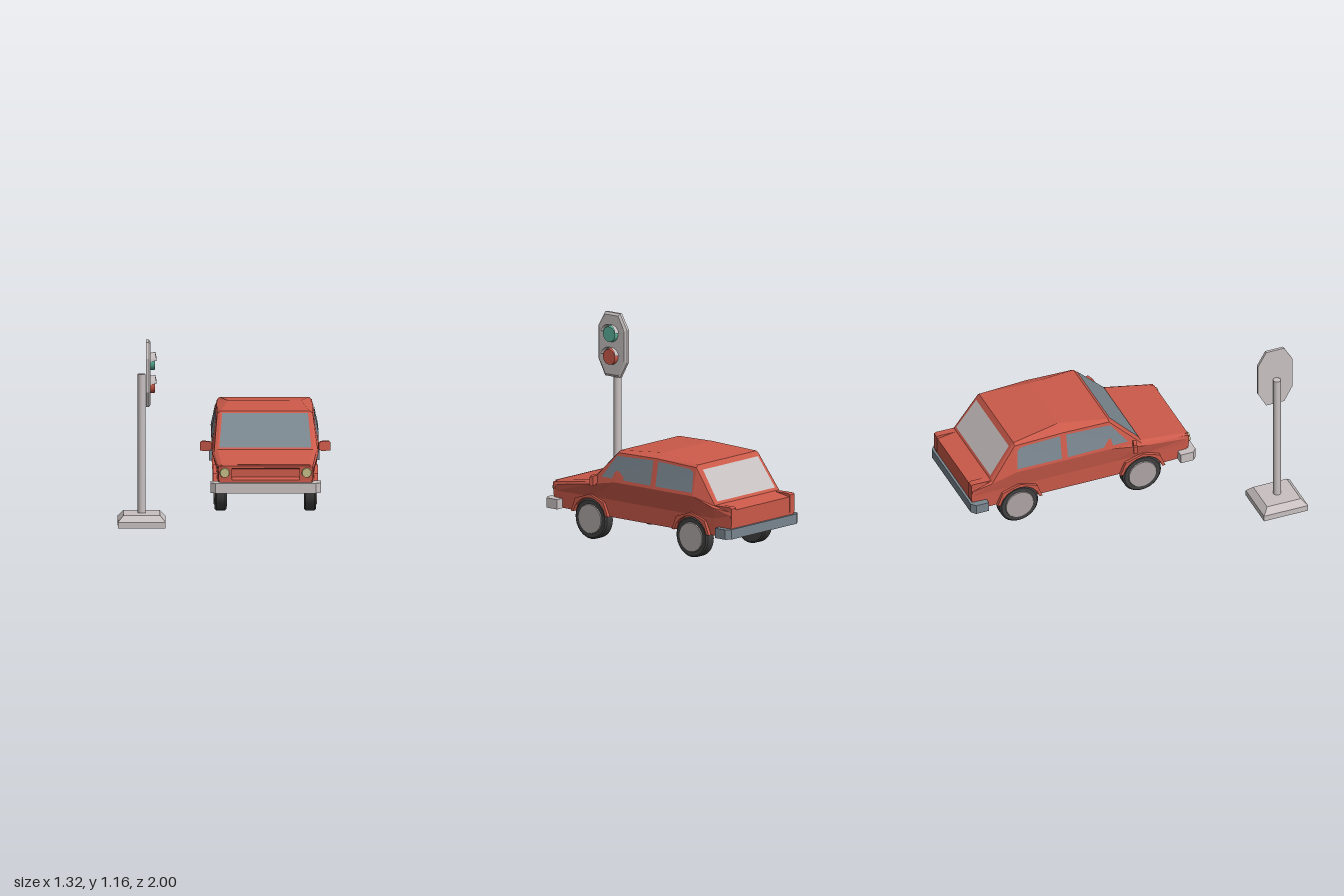
import * as THREE from 'three';

const mat = (name, color, side = THREE.FrontSide) => {
  const m = new THREE.MeshStandardMaterial({ color, side });
  m.name = name;
  return m;
};

// Faceted skin over matching rings; the first ring runs counter-clockwise seen from outside
function loft(rings) {
  const pos = [], n = rings[0].length, last = rings[rings.length - 1];
  const tri = (...p) => p.forEach(v => pos.push(...v));
  for (let r = 0; r < rings.length - 1; r++) {
    for (let i = 0; i < n; i++) {
      const j = (i + 1) % n, f = rings[r], b = rings[r + 1];
      tri(f[i], b[i], b[j]);
      tri(f[i], b[j], f[j]);
    }
  }
  for (let i = 1; i < n - 1; i++) {
    tri(rings[0][0], rings[0][i], rings[0][i + 1]);
    tri(last[0], last[i + 1], last[i]);
  }
  return fromPositions(pos);
}

function fromPositions(pos) {
  const g = new THREE.BufferGeometry();
  g.setAttribute('position', new THREE.Float32BufferAttribute(pos, 3));
  g.computeVertexNormals();
  return g;
}

// Thin flat sheet from a convex outline
function sheet(p) {
  const pos = [];
  for (let i = 1; i < p.length - 1; i++) pos.push(...p[0], ...p[i], ...p[i + 1]);
  return fromPositions(pos);
}

const extrude = (pts, depth) => new THREE.ExtrudeGeometry(
  new THREE.Shape(pts.map(p => new THREE.Vector2(...p))), { depth, bevelEnabled: false });

// Outline in (z, y) extruded along x from x0 to x1
const sidePlate = (pts, x0, x1) =>
  extrude(pts.map(([z, y]) => [-z, y]), x1 - x0).rotateY(Math.PI / 2).translate(x0, 0, 0);

// Car half-sections from nose to tail: z, then [half width, y] from sill to roof
const sections = [
  [0.445, [0.288, 0.16], [0.292, 0.26], [0.296, 0.3], [0.29, 0.318], [0.27, 0.327]],
  [0.14, [0.3, 0.16], [0.305, 0.27], [0.326, 0.35], [0.315, 0.365], [0.295, 0.376]],
  [-0.07, [0.3, 0.16], [0.306, 0.27], [0.33, 0.39], [0.294, 0.572], [0.275, 0.585]],
  [-0.38, [0.3, 0.16], [0.306, 0.27], [0.33, 0.39], [0.296, 0.578], [0.225, 0.605]],
  [-0.7, [0.3, 0.16], [0.306, 0.27], [0.33, 0.39], [0.292, 0.565], [0.275, 0.58]],
  [-0.86, [0.3, 0.16], [0.304, 0.27], [0.315, 0.335], [0.3, 0.345], [0.285, 0.352]],
  [-0.985, [0.295, 0.16], [0.298, 0.26], [0.3, 0.3], [0.295, 0.322], [0.28, 0.332]],
];

// Half width of the cabin side at a given z and y
function cabinSide(z, y) {
  let k = 1;
  while (k < sections.length - 2 && sections[k + 1][0] > z) k++;
  const a = sections[k], b = sections[k + 1], t = (a[0] - z) / (a[0] - b[0]);
  const at = i => [0, 1].map(c => THREE.MathUtils.lerp(a[i][c], b[i][c], t));
  const [low, high] = [at(3), at(4)];
  return THREE.MathUtils.mapLinear(y, low[1], high[1], low[0], high[0]);
}

export function createModel() {
  const red = mat('red paint', 0xcc5a4a);
  const light = mat('light grey', 0xc9c1c1, THREE.DoubleSide);
  const glass = mat('slate glass', 0x7a868f, THREE.DoubleSide);
  const rubber = mat('rubber', 0x404040);
  const hubGrey = mat('hub grey', 0xaea5a5);
  const yellow = mat('headlight yellow', 0xc8be88);
  const green = mat('signal green', 0x5cb09a);

  const model = new THREE.Group();
  const car = new THREE.Group();
  car.name = 'car';
  car.position.x = 0.256;
  const signal = new THREE.Group();
  signal.name = 'trafficLight';
  signal.position.set(-0.511, 0, 0.853);
  model.add(car, signal);
  const add = (parent, name, geo, material, x = 0, y = 0, z = 0) => {
    const m = new THREE.Mesh(geo, material);
    m.name = name;
    m.position.set(x, y, z);
    parent.add(m);
    return m;
  };

  // Body shell
  add(car, 'body', loft(sections.map(([z, ...half]) => [
    ...half.map(([x, y]) => [x, y, z]),
    ...half.slice().reverse().map(([x, y]) => [-x, y, z]),
  ])), red);

  // Nose: hood lip and lower panel around a shallow recess
  add(car, 'hoodLip', sidePlate([[0.44, 0.327], [0.465, 0.322], [0.465, 0.308], [0.44, 0.3]], -0.27, 0.27), red);
  add(car, 'nosePanel', sidePlate([[0.44, 0.16], [0.465, 0.16], [0.462, 0.235], [0.44, 0.255]], -0.285, 0.285), red);

  // Windshield and rear window
  const slope = (name, z0, y0, w0, z1, y1, w1, material) => add(car, name,
    sheet([[-w0, y0, z0], [w0, y0, z0], [w1, y1, z1], [-w1, y1, z1]]), material);
  slope('windshield', 0.135, 0.389, 0.283, -0.053, 0.576, 0.264, glass);
  slope('rearWindow', -0.853, 0.37, 0.272, -0.725, 0.551, 0.26, light);

  // Bumpers wrap around the corners
  const bumper = dir => extrude([
    [-0.34, 0.39], [-0.34, 0.475], [-0.31, 0.5], [0.31, 0.5], [0.34, 0.475], [0.34, 0.39],
    [0.29, 0.39], [0.285, 0.44], [-0.285, 0.44], [-0.29, 0.39],
  ], 0.062).rotateX(Math.PI / 2).rotateY(dir > 0 ? 0 : Math.PI);
  add(car, 'frontBumper', bumper(1), light, 0, 0.219, 0);
  add(car, 'rearBumper', bumper(-1), glass, 0, 0.219, -0.5);

  const tyreGeo = new THREE.LatheGeometry([
    [0, -0.037], [0.118, -0.037], [0.118, -0.037], [0.128, -0.027], [0.128, -0.027],
    [0.128, 0.027], [0.128, 0.027], [0.118, 0.037], [0.118, 0.037], [0, 0.037],
  ].map(p => new THREE.Vector2(...p)), 32).rotateZ(-Math.PI / 2);
  const hubGeo = new THREE.CylinderGeometry(0.09, 0.096, 0.012, 32).rotateZ(-Math.PI / 2);
  const lampGeo = new THREE.CylinderGeometry(0.028, 0.032, 0.02, 20).rotateX(Math.PI / 2);
  const mirrorGeo = extrude([[-0.037, -0.018], [-0.02, -0.03], [0.037, -0.03],
    [0.037, 0.022], [0.03, 0.03], [-0.02, 0.03], [-0.037, 0.018]], 0.022).translate(0, 0, -0.011);

  // Wheel arch outline around the wheel centre
  const arch = [[0.15, 0.032], [0.115, 0.118], [0, 0.157], [-0.115, 0.118], [-0.15, 0.032]];
  for (let i = 0; i <= 8; i++) {
    const a = Math.PI - 0.24 - i * (Math.PI - 0.48) / 8;
    arch.push([0.134 * Math.cos(a), 0.134 * Math.sin(a)]);
  }

  const windows = {
    frontSideWindow: [[0.045, 0.41], [-0.36, 0.41], [-0.36, 0.565], [-0.065, 0.552]],
    rearSideWindow: [[-0.4, 0.41], [-0.695, 0.412], [-0.685, 0.535], [-0.655, 0.552], [-0.4, 0.564]],
  };
  for (const s of [1, -1]) {
    const both = (a, b) => s > 0 ? [a, b] : [-b, -a];
    for (const [name, pts] of Object.entries(windows))
      add(car, name, sheet(pts.map(([z, y]) => [s * (cabinSide(z, y) + 0.005), y, z])), glass);

    // Wheels and arches
    for (const z of [0.145, -0.675]) {
      add(car, 'tyre', tyreGeo, rubber, s * 0.275, 0.128, z);
      add(car, 'hub', hubGeo, hubGrey, s * 0.312, 0.128, z).rotation.y = s > 0 ? 0 : Math.PI;
      add(car, 'wheelArch', sidePlate(arch, ...both(0.27, 0.323)), red, 0, 0.128, z);
    }

    // Headlights, mirrors and tail fins
    add(car, 'headlightHousing', sidePlate([[0.44, 0.235], [0.463, 0.235], [0.465, 0.315], [0.44, 0.322]],
      ...both(0.208, 0.291)), red);
    add(car, 'headlight', lampGeo, yellow, s * 0.2525, 0.28, 0.469);
    add(car, 'mirror', mirrorGeo, red, s * 0.363, 0.39, 0.075).rotation.y = s > 0 ? 0.3 : Math.PI - 0.3;
    add(car, 'tailFin', sidePlate([[-0.86, 0.35], [-0.9, 0.235], [-0.99, 0.235], [-0.99, 0.345], [-0.975, 0.352]],
      ...both(0.254, 0.298)), red);
  }

  // Traffic light base and pole
  const square = (h, y) => [[-h, y, h], [h, y, h], [h, y, -h], [-h, y, -h]];
  add(signal, 'base', loft([square(0.112, 0.09), square(0.147, 0.051), square(0.147, 0.013)]), light);
  add(signal, 'pole', new THREE.CylinderGeometry(0.024, 0.024, 0.943, 24), light, 0, 0.4815, 0);

  // Eight-sided signal board with a bevelled face
  const board = (x, d) => [[0.06, -0.2], [-0.06, -0.2], [-0.115, -0.1], [-0.115, 0.108],
    [-0.06, 0.203], [0.06, 0.203], [0.115, 0.108], [0.115, -0.1]]
    .map(([z, y]) => [x, 0.956 + y * (1 - d / 0.2), z * (1 - d / 0.115)]);
  add(signal, 'signalBoard', loft([board(0.055, 0.014), board(0.045, 0), board(0.027, 0)]), light);

  // Lamps with upward-tilted visors
  const lensGeo = new THREE.CylinderGeometry(0.048, 0.052, 0.03, 28).rotateZ(-Math.PI / 2);
  const visorGeo = new THREE.CylinderGeometry(0.06, 0.06, 0.046, 20, 1, true, -1.35, 2.7)
    .rotateX(-Math.PI / 2).rotateY(Math.PI / 2);
  const down = new THREE.Box3().setFromBufferAttribute(visorGeo.attributes.position);
  if (down.max.y < 0.059) visorGeo.rotateX(Math.PI);
  for (const [name, y, material] of [['greenLamp', 1.028, green], ['redLamp', 0.885, red]]) {
    add(signal, name, lensGeo, material, 0.066, y, 0);
    add(signal, 'visor', visorGeo, light, 0.074, y - 0.001, 0).rotation.z = 0.22;
  }
  return model;
}
